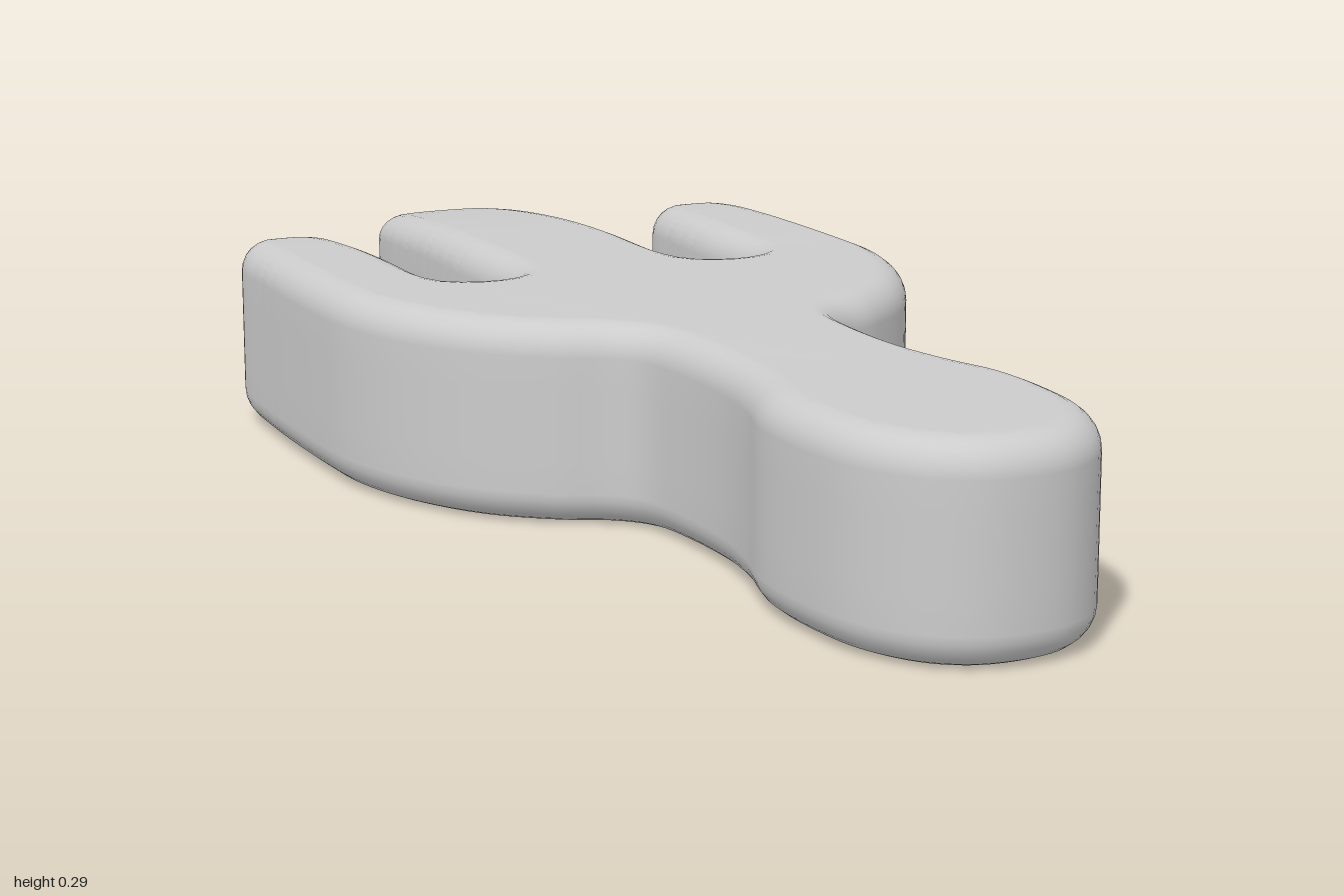
import * as THREE from 'three';
import { mergeVertices } from 'three/addons/utils/BufferGeometryUtils.js';

const HEIGHT = 0.295, BEVEL = 0.048, TAPER_START = 0.5;

// Half outline (x, -z), from the tip of the middle tine to the end of the handle
const HALF = [
  [0, 1], [0.06, 0.99], [0.105, 0.955], [0.125, 0.87], [0.138, 0.7], [0.146, 0.5], [0.147, 0.3],
  [0.163, 0.252], [0.205, 0.235], [0.25, 0.252], [0.265, 0.3], [0.266, 0.45], [0.274, 0.6],
  [0.285, 0.68], [0.315, 0.727], [0.37, 0.737], [0.42, 0.725], [0.447, 0.675], [0.457, 0.55],
  [0.461, 0.3], [0.454, 0.18], [0.42, 0.06], [0.35, -0.06], [0.26, -0.14], [0.19, -0.18],
  [0.16, -0.22], [0.147, -0.31], [0.148, -0.45], [0.165, -0.55], [0.19, -0.64], [0.194, -0.74],
  [0.177, -0.86], [0.13, -0.945], [0.07, -0.988], [0, -1],
];

// Cuts every triangle along the line y = level, so the flat faces can bend there
function slice(tris, level) {
  const out = [];
  for (const tri of tris) {
    const d = tri.map((v) => (Math.abs(v.y - level) < 1e-4 ? 0 : v.y - level));
    if (Math.max(...d) <= 0 || Math.min(...d) >= 0) { out.push(tri); continue; }
    const cut = (i, j) => tri[i].clone().lerp(tri[j], d[i] / (d[i] - d[j]));
    const zero = d.indexOf(0);
    if (zero >= 0) {
      const b = (zero + 1) % 3, c = (zero + 2) % 3, m = cut(b, c);
      out.push([tri[zero], tri[b], m], [tri[zero], m, tri[c]]);
      continue;
    }
    // a is the corner that lies alone on its side
    const a = [0, 1, 2].find((i) => d[i] * d[(i + 1) % 3] < 0 && d[i] * d[(i + 2) % 3] < 0);
    const b = (a + 1) % 3, c = (a + 2) % 3, p = cut(a, b), q = cut(a, c);
    out.push([tri[a], p, q], [p, tri[b], tri[c]], [p, tri[c], q]);
  }
  return out;
}

function forkGeometry() {
  // Mirrored closed outline
  const mirrored = HALF.slice(1, -1).reverse().map(([x, s]) => [-x, s]);
  const points = [...HALF, ...mirrored].map(([x, s]) => new THREE.Vector3(x, s, 0));
  const outline = new THREE.CatmullRomCurve3(points, true).getSpacedPoints(360).slice(0, -1);
  const shape = new THREE.Shape(outline.map((p) => new THREE.Vector2(p.x, p.y)));

  // Thick slab with rounded rims
  const slab = new THREE.ExtrudeGeometry(shape, {
    depth: HEIGHT - 2 * BEVEL, steps: 4, bevelEnabled: true,
    bevelSize: BEVEL, bevelThickness: BEVEL, bevelOffset: -BEVEL, bevelSegments: 6,
  });
  const pos = slab.attributes.position;
  let tris = [];
  for (let i = 0; i < pos.count; i += 3) {
    tris.push([0, 1, 2].map((k) => new THREE.Vector3().fromBufferAttribute(pos, i + k)));
  }
  for (let level = TAPER_START; level < 0.96; level += 0.05) tris = slice(tris, level);

  // Thin the tines towards their tips
  const mid = HEIGHT / 2;
  const coords = [];
  for (const v of tris.flat()) {
    const t = Math.max(0, (v.y - TAPER_START) / (1 - TAPER_START));
    coords.push(v.x, v.y, mid + (v.z + BEVEL - mid) * (1 - 0.26 * t * t));
  }
  let geo = new THREE.BufferGeometry();
  geo.setAttribute('position', new THREE.Float32BufferAttribute(coords, 3));
  geo = mergeVertices(geo, 1e-4);
  geo.computeVertexNormals();
  geo.rotateX(-Math.PI / 2);
  return geo;
}

export function createModel() {
  const group = new THREE.Group();
  group.name = 'fork';
  const fork = new THREE.Mesh(forkGeometry(), new THREE.MeshStandardMaterial({ color: 0xcccccc }));
  fork.name = 'handleAndTines';
  group.add(fork);
  return group;
}
